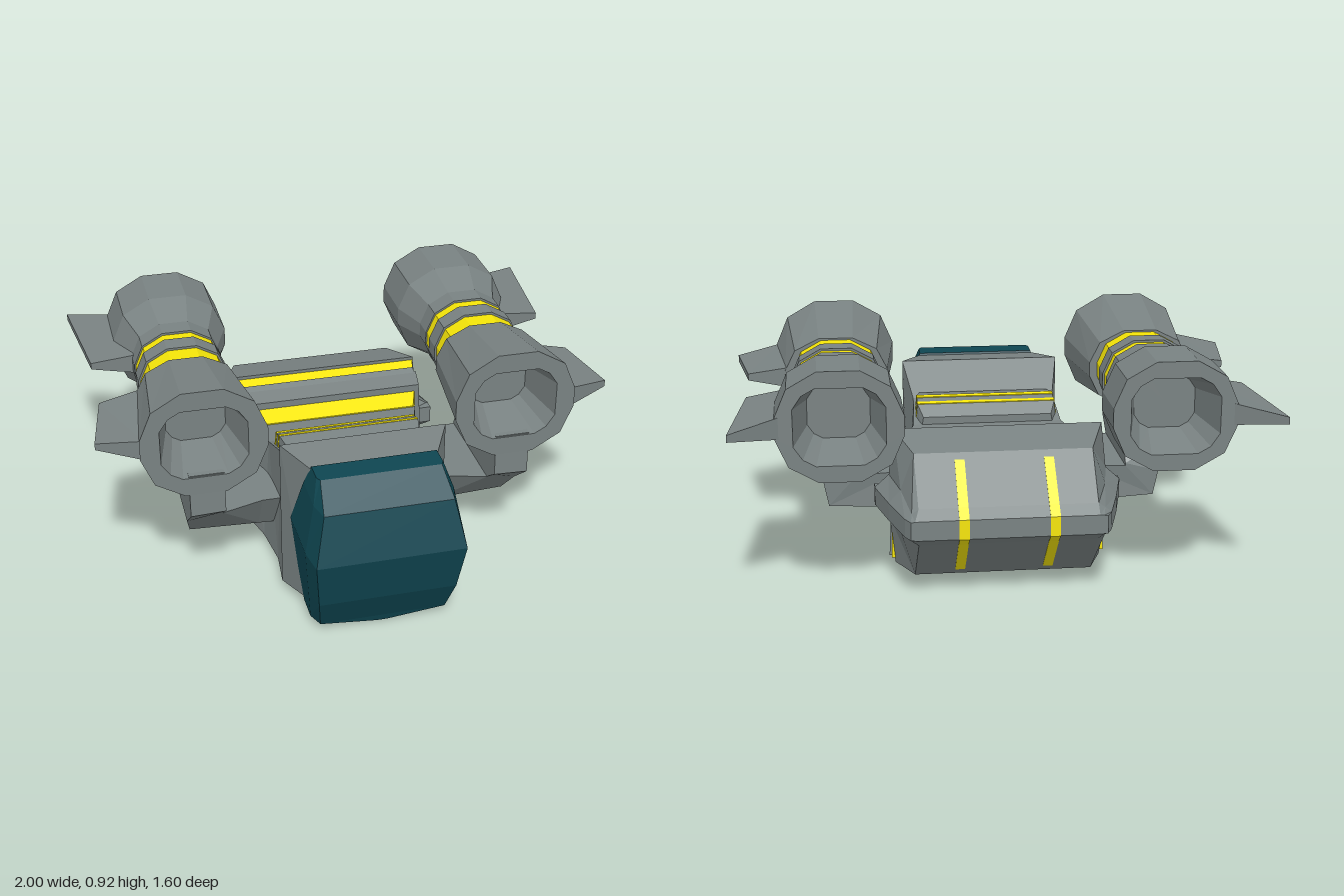
import * as THREE from 'three';

const material = (color) => new THREE.MeshStandardMaterial({ color, flatShading: true, side: THREE.DoubleSide });
const grey = material(0x798282);
const yellow = material(0xf5e508);
const teal = material(0x0f4651);

// Skin a list of equal-length rings of [x, y, z] points and cap both ends.
function loft(name, rings, mat) {
  const n = rings[0].length;
  const tris = [];
  const middle = (ring) => [0, 1, 2].map((k) => ring.reduce((t, p) => t + p[k], 0) / n);
  for (let r = 0; r < rings.length - 1; r++) {
    for (let i = 0; i < n; i++) {
      const j = (i + 1) % n;
      const [a, b, c, d] = [rings[r][i], rings[r][j], rings[r + 1][j], rings[r + 1][i]];
      tris.push([a, b, c], [a, c, d]);
    }
  }
  const first = rings[0], last = rings[rings.length - 1];
  for (let i = 0; i < n; i++) {
    const j = (i + 1) % n;
    tris.push([middle(first), first[j], first[i]], [middle(last), last[i], last[j]]);
  }
  // Turn the faces outward if the rings ran the other way.
  const volume = tris.reduce((t, [a, b, c]) => t
    + a[0] * (b[1] * c[2] - b[2] * c[1])
    + a[1] * (b[2] * c[0] - b[0] * c[2])
    + a[2] * (b[0] * c[1] - b[1] * c[0]), 0);
  if (volume < 0) tris.forEach((t) => t.reverse());
  const geometry = new THREE.BufferGeometry();
  geometry.setAttribute('position', new THREE.Float32BufferAttribute(tris.flat(2), 3));
  geometry.computeVertexNormals();
  const mesh = new THREE.Mesh(geometry, mat);
  mesh.name = name;
  return mesh;
}

// Mirror half an outline [x, v] across x = 0.
const mirrored = (half) => [...half, ...half.map(([x, v]) => [-x, v]).reverse()];
const sectionZ = (z, half) => mirrored(half).map(([x, y]) => [x, y, z]);
const sectionY = (y, half) => mirrored(half).map(([x, z]) => [x, y, z]);

// Body slice with sloping sides.
const slice = (z, topX, top, bottomX, bottom) => sectionZ(z, [[topX, top], [bottomX, bottom]]);

// Side-profile slab [z, y] between two x positions.
const slab = (name, profile, x0, x1, mat) =>
  loft(name, [x0, x1].map((x) => profile.map(([z, y]) => [x, y, z])), mat);

// Twelve-sided engine outlines: the shell and its squarer bore.
const fromQuarter = (quarter) => mirrored([...quarter, ...quarter.map(([x, y]) => [x, -y]).reverse()]);
const shell = fromQuarter([[0.33, 1], [0.8, 0.7], [1, 0.18]]);
const bore = fromQuarter([[0.52, 1], [0.8, 0.82], [1, 0.48]]);
const engineRing = ([z, rx, ry, outline = shell]) => outline.map(([x, y]) => [x * rx, y * ry, z]);

function createEngine() {
  const engine = new THREE.Group();
  const part = (name, mat, rows) => engine.add(loft(name, rows.map(engineRing), mat));
  part('frontNozzle', grey, [
    [0.16, 0.115, 0.1, bore], [0.37, 0.165, 0.143, bore], [0.37, 0.24, 0.218], [-0.02, 0.2, 0.155],
  ]);
  part('wideBand', yellow, [[-0.015, 0.17, 0.148], [-0.115, 0.17, 0.148]]);
  part('collar', grey, [[-0.11, 0.178, 0.157], [-0.19, 0.178, 0.157]]);
  part('narrowBand', yellow, [[-0.185, 0.17, 0.148], [-0.25, 0.17, 0.148]]);
  part('rearNozzle', grey, [
    [-0.245, 0.175, 0.157], [-0.33, 0.175, 0.157], [-0.47, 0.23, 0.205],
    [-0.7, 0.23, 0.205], [-0.7, 0.165, 0.143, bore], [-0.5, 0.115, 0.1, bore],
  ]);
  return engine;
}

// Tapered fin: corners [x, z] of the root and of the tip.
function createFin(name, side, root, tip) {
  const ring = ([[xa, za], [xb, zb]], h) => [
    [side * xa, 0.7 + h, za], [side * xb, 0.7 + h, zb],
    [side * xb, 0.7 - h, zb], [side * xa, 0.7 - h, za],
  ];
  return loft(name, [ring(root, 0.04), ring(tip, 0.013)], grey);
}

// Bent arm: each row is inner x, y, front z, back z, then the same for the outer edge.
function createArm(side) {
  const rows = [
    [0.26, 0.33, 0.24, -0.12, 0.26, 0.155, 0.14, -0.12],
    [0.37, 0.33, 0.24, -0.13, 0.37, 0.16, 0.14, -0.14],
    [0.535, 0.33, 0.29, -0.15, 0.65, 0.18, 0.15, -0.15],
    [0.535, 0.34, 0.3, -0.15, 0.67, 0.28, 0.24, -0.15],
    [0.535, 0.39, 0.37, -0.12, 0.67, 0.385, 0.37, -0.12],
    [0.535, 0.56, 0.365, -0.02, 0.67, 0.56, 0.365, -0.02],
  ];
  return loft('engineArm', rows.map(([xi, yi, fi, bi, xo, yo, fo, bo]) => [
    [side * xi, yi, fi], [side * xi, yi, bi], [side * xo, yo + 0.025, bo], [side * xo, yo, fo],
  ]), grey);
}

export function createModel() {
  const model = new THREE.Group();
  model.name = 'spacecraft';

  // Faceted cockpit canopy, stacked bottom to top.
  const canopyRows = [
    // y, front half width, front z, side half width, side z, back z
    [0, 0.02, 0.67, 0.025, 0.65, 0.52],
    [0.03, 0.245, 0.68, 0.27, 0.62, 0.515],
    [0.17, 0.265, 0.75, 0.285, 0.66, 0.48],
    [0.37, 0.285, 0.8, 0.302, 0.69, 0.44],
    [0.56, 0.245, 0.75, 0.265, 0.67, 0.505],
    [0.64, 0.23, 0.63, 0.24, 0.61, 0.53],
  ];
  model.add(loft('canopy', canopyRows.map(([y, xf, zf, xs, zs, zb]) =>
    sectionY(y, [[xf, zf], [xs, zs], [xs, zb]])), teal));

  // Front hull, narrowing behind the cockpit.
  model.add(loft('frontHull', [
    slice(0.54, 0.24, 0.63, 0.26, 0.05),
    slice(0.37, 0.325, 0.65, 0.325, 0.03),
    slice(0.22, 0.29, 0.53, 0.31, 0.03),
    slice(0.04, 0.3, 0.47, 0.33, 0.03),
    slice(-0.11, 0.35, 0.46, 0.37, 0.03),
  ], grey));

  // Raised deck with two yellow strips.
  model.add(loft('deck', [
    slice(0.23, 0.265, 0.55, 0.27, 0.45),
    slice(0.16, 0.28, 0.56, 0.29, 0.44),
    slice(0.09, 0.28, 0.54, 0.29, 0.44),
    slice(0.04, 0.26, 0.5, 0.27, 0.44),
  ], grey));
  for (const [z, y] of [[0.148, 0.561], [0.1, 0.547]]) {
    model.add(loft('deckStrip', [
      slice(z + 0.009, 0.281, y, 0.291, 0.45), slice(z - 0.009, 0.281, y - 0.004, 0.291, 0.45),
    ], yellow));
  }

  // Banded waist.
  model.add(loft('frontBand', [
    slice(-0.105, 0.34, 0.465, 0.385, 0.05), slice(-0.19, 0.37, 0.495, 0.395, 0.05),
  ], yellow));
  model.add(loft('waistRing', [
    slice(-0.18, 0.385, 0.52, 0.41, 0.03), slice(-0.26, 0.395, 0.54, 0.42, 0.03),
  ], grey));
  model.add(loft('waistSeam', [
    slice(-0.25, 0.387, 0.537, 0.4, 0.06), slice(-0.28, 0.387, 0.55, 0.4, 0.06),
  ], grey));
  model.add(loft('rearBand', [
    slice(-0.26, 0.383, 0.535, 0.405, 0.05), slice(-0.335, 0.4, 0.56, 0.415, 0.05),
  ], yellow));

  // Rear hull with a belt along its sides.
  const hullSlice = (z, edgeX, top, bottom, beltX, sideX, up, down) => sectionZ(z, [
    [edgeX, top], [sideX, up], [beltX, 0.34], [beltX, 0.27], [sideX, down], [edgeX, bottom],
  ]);
  model.add(loft('rearHull', [
    hullSlice(-0.33, 0.4, 0.572, 0.03, 0.475, 0.42, 0.39, 0.22),
    hullSlice(-0.515, 0.335, 0.53, 0.05, 0.43, 0.385, 0.39, 0.22),
    hullSlice(-0.69, 0.33, 0.375, 0.235, 0.38, 0.355, 0.358, 0.252),
    hullSlice(-0.73, 0.33, 0.342, 0.268, 0.36, 0.345, 0.341, 0.269),
  ], grey));

  for (const side of [1, -1]) {
    // Belt lip overlapping the rear band.
    model.add(loft('beltLip', [
      [[0.4, 0.34], [0.475, 0.34], [0.475, 0.27], [0.4, 0.27]].map(([x, y]) => [side * x, y, -0.29]),
      [[0.4, 0.39], [0.475, 0.34], [0.475, 0.27], [0.4, 0.22]].map(([x, y]) => [side * x, y, -0.335]),
    ], grey));

    // Stripe wrapping the tail, almost flush with the hull.
    model.add(slab('tailStripe', [
      [-0.54, 0.51], [-0.69, 0.378], [-0.732, 0.343], [-0.732, 0.267], [-0.69, 0.232], [-0.54, 0.074],
    ], side * 0.148, side * 0.185, yellow));

    // Engine, its fins and its arm.
    const engine = createEngine();
    engine.name = side > 0 ? 'leftEngine' : 'rightEngine';
    engine.position.set(side * 0.605, 0.698, 0);
    model.add(engine, createArm(side));
    model.add(createFin('frontFin', side, [[0.83, 0.37], [0.79, -0.02]], [[1, 0.3], [0.95, 0]]));
    model.add(createFin('rearFin', side, [[0.77, -0.31], [0.82, -0.7]], [[0.945, -0.33], [0.995, -0.8]]));
  }
  return model;
}
